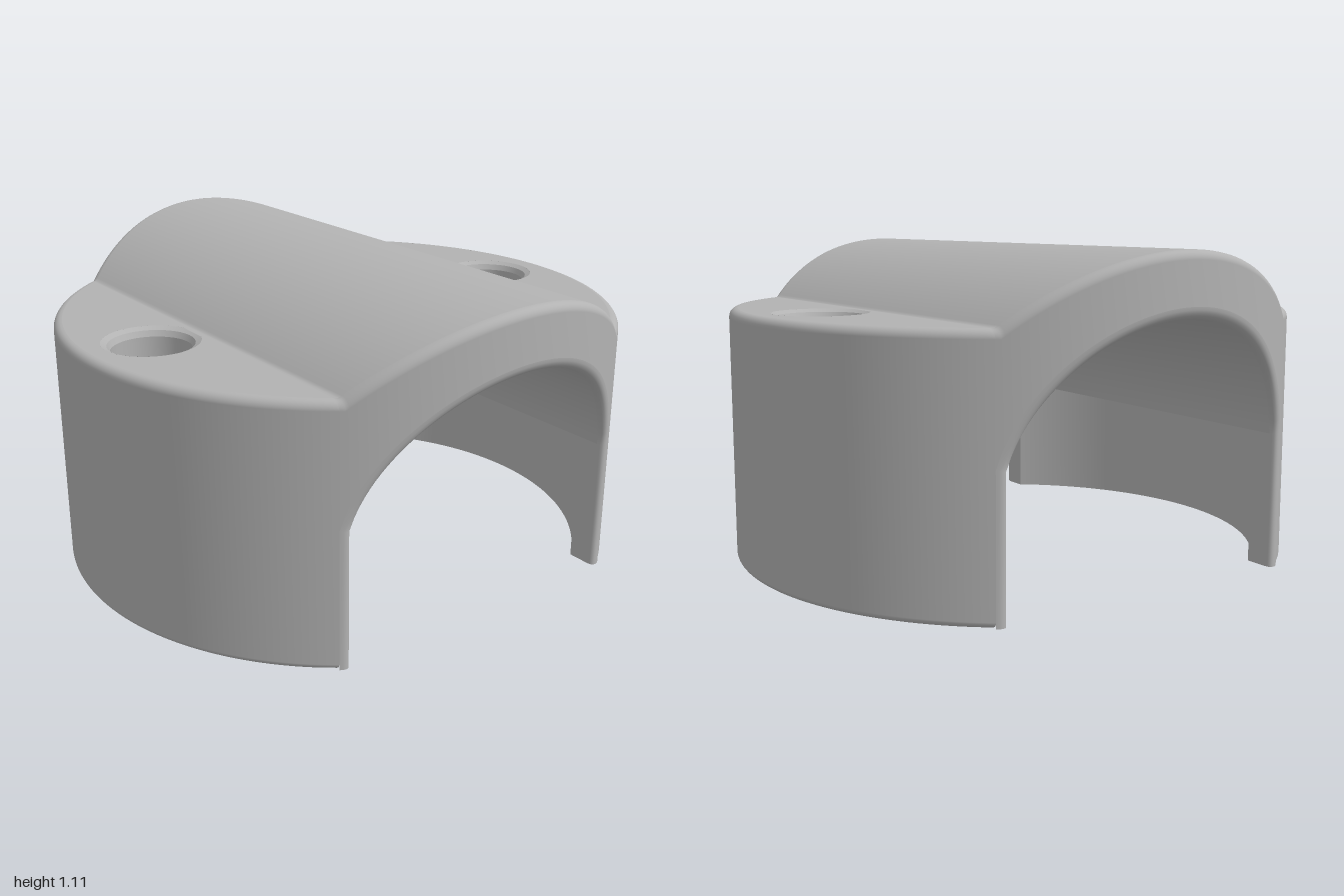
import * as THREE from 'three';

// Main dimensions
const R = 1, RIM = 0.03, FOOT = 0.02;            // outer radius and edge roundings
const DECK = 0.89, CREST = 1.11, CREASE = 0.57;  // flat top, crown top, crown edge
const TR = 0.56, TY = 0.34, EDGE = 0.04;         // tunnel radius, axis height, mouth rounding
const CEIL = 0.47, INNER = 0.9;                  // pocket ceiling and pocket wall radius
const PHI0 = Math.asin((CEIL - TY) / TR);        // angle at which the tunnel meets the pocket
const XIN = TR * Math.cos(PHI0), XOUT = (TR + EDGE) * Math.cos(PHI0);

const SAG = CREST - DECK;
const CR = (CREASE * CREASE + SAG * SAG) / (2 * SAG);
const crownY = (x) => Math.abs(x) < CREASE ? CREST - CR + Math.sqrt(CR * CR - x * x) : DECK;
const zAt = (r, x) => Math.sqrt(Math.max(0, r * r - x * x));

// Angles across the arch, with stops at the crown's creases
const crease = Math.acos(CREASE / (TR + EDGE));
const phis = [PHI0];
for (let i = 0; i <= 56; i++) phis.push(crease + (Math.PI - 2 * crease) * i / 56);
phis.push(Math.PI - PHI0);

const steps = (n) => Array.from({ length: n + 1 }, (_, i) => i / n);
const quarter = steps(6).map((t) => t * Math.PI / 2);

// Surface over two lists of parameters
function grid(us, vs, f) {
  const pos = [], idx = [], n = vs.length;
  us.forEach((u) => vs.forEach((v) => pos.push(...f(u, v))));
  for (let i = 0; i < us.length - 1; i++) {
    for (let j = 0; j < n - 1; j++) {
      const a = i * n + j, b = a + n;
      idx.push(a, b, a + 1, b, b + 1, a + 1);
    }
  }
  const g = new THREE.BufferGeometry();
  g.setAttribute('position', new THREE.Float32BufferAttribute(pos, 3));
  g.setIndex(idx);
  g.computeVertexNormals();
  return g;
}

// Circle segment beyond a chord, with a round hole
function segment(r, x0, holeR) {
  const a = Math.acos(x0 / r), s = new THREE.Shape();
  s.absarc(0, 0, r, -a, a, false);
  const h = new THREE.Path();
  h.absarc(0.75, 0, holeR, 0, Math.PI * 2, true);
  s.holes.push(h);
  return new THREE.ShapeGeometry(s, 40);
}

export function createModel() {
  const model = new THREE.Group();
  model.name = 'pipeSaddleCover';
  const grey = new THREE.MeshStandardMaterial({ color: 0xb2b2b2, side: THREE.DoubleSide });
  grey.name = 'grey';
  const add = (parent, name, geo) => {
    const m = new THREE.Mesh(geo, grey);
    m.name = name;
    parent.add(m);
    return m;
  };

  // Crown and tunnel run the full depth
  add(model, 'crown', grid(phis, [-1, 1], (p, s) => {
    const x = (TR + EDGE) * Math.cos(p);
    return [x, crownY(x), s * zAt(R - RIM, x)];
  }));
  add(model, 'tunnel', grid(phis, [1, -1], (p, s) => {
    const x = TR * Math.cos(p);
    return [x, TY + TR * Math.sin(p), s * (zAt(R, x) - EDGE)];
  }));

  // One arch mouth and one side per half; the second half is turned about y
  for (let k = 0; k < 2; k++) {
    const half = new THREE.Group();
    half.name = k ? 'backHalf' : 'frontHalf';
    half.rotation.y = k * Math.PI;
    model.add(half);

    // Arch face with rounded upper rim
    add(half, 'archFace', grid(phis, [...quarter, 9], (p, q) => {
      const x = (TR + EDGE) * Math.cos(p);
      if (q === 9) return [x, TY + (TR + EDGE) * Math.sin(p), zAt(R, x)];
      return [x, crownY(x) - RIM * (1 - Math.cos(q)), zAt(R - RIM * (1 - Math.sin(q)), x)];
    }));

    // Rounded mouth edge, down both legs
    const path = phis.map((p) => [TR * Math.cos(p), TY + TR * Math.sin(p), Math.cos(p), Math.sin(p)]);
    path.unshift([XIN, 0, Math.cos(PHI0), 0]);
    path.push([-XIN, 0, -Math.cos(PHI0), 0]);
    add(half, 'mouthEdge', grid(path, quarter, ([px, py, nx, ny], q) => {
      const d = EDGE * (1 - Math.sin(q));
      const x = px + nx * d;
      return [x, py + ny * d, zAt(R, x) - EDGE * (1 - Math.cos(q))];
    }));

    // Outer wall: rounded foot, straight wall, rounded rim
    const sweep = steps(72).map((t) => 1 - 2 * t);
    const ring = (x0, t, r, y) => {
      const a = t * Math.acos(x0 / r);
      return [r * Math.cos(a), y, r * Math.sin(a)];
    };
    const profile = [
      ...quarter.map((q) => [R - FOOT * (1 - Math.sin(q)), FOOT * (1 - Math.cos(q))]),
      ...quarter.map((q) => [R - RIM * (1 - Math.cos(q)), DECK - RIM * (1 - Math.sin(q))]),
    ];
    add(half, 'outerWall', grid(sweep, profile, (t, [r, y]) => ring(XOUT, t, r, y)));

    // Pocket wall, foot and leg ends
    add(half, 'pocketWall', grid(sweep, [CEIL, 0], (t, y) => ring(XIN, t, INNER, y)));
    add(half, 'foot', grid(sweep, [INNER, 0.965, R - FOOT],
      (t, r) => ring(r > 0.97 ? XOUT : XIN, t, r, 0)));
    const z0 = zAt(INNER, XIN), z1 = zAt(R, XIN) - EDGE;
    for (const [a, b] of [[z0, z1], [-z1, -z0]]) {
      add(half, 'legEnd', grid([a, b], [0, CEIL], (z, y) => [XIN, y, z]));
    }

    // Flat deck and pocket ceiling, both pierced by the screw hole
    add(half, 'deck', segment(R - RIM, XOUT, 0.165).rotateX(-Math.PI / 2)).position.y = DECK;
    add(half, 'pocketCeiling', segment(INNER, XIN, 0.075).rotateX(Math.PI / 2)).position.y = CEIL;

    // Stepped screw hole
    const bore = [[0.075, CEIL], [0.075, 0.59], [0.1, 0.62], [0.135, 0.62], [0.135, 0.86], [0.145, 0.88], [0.165, DECK]];
    for (let i = 0; i < bore.length - 1; i++) {
      const pts = [bore[i + 1], bore[i]].map(([r, y]) => new THREE.Vector2(r, y));
      add(half, 'screwHole', new THREE.LatheGeometry(pts, 40)).position.x = 0.75;
    }
  }
  return model;
}
